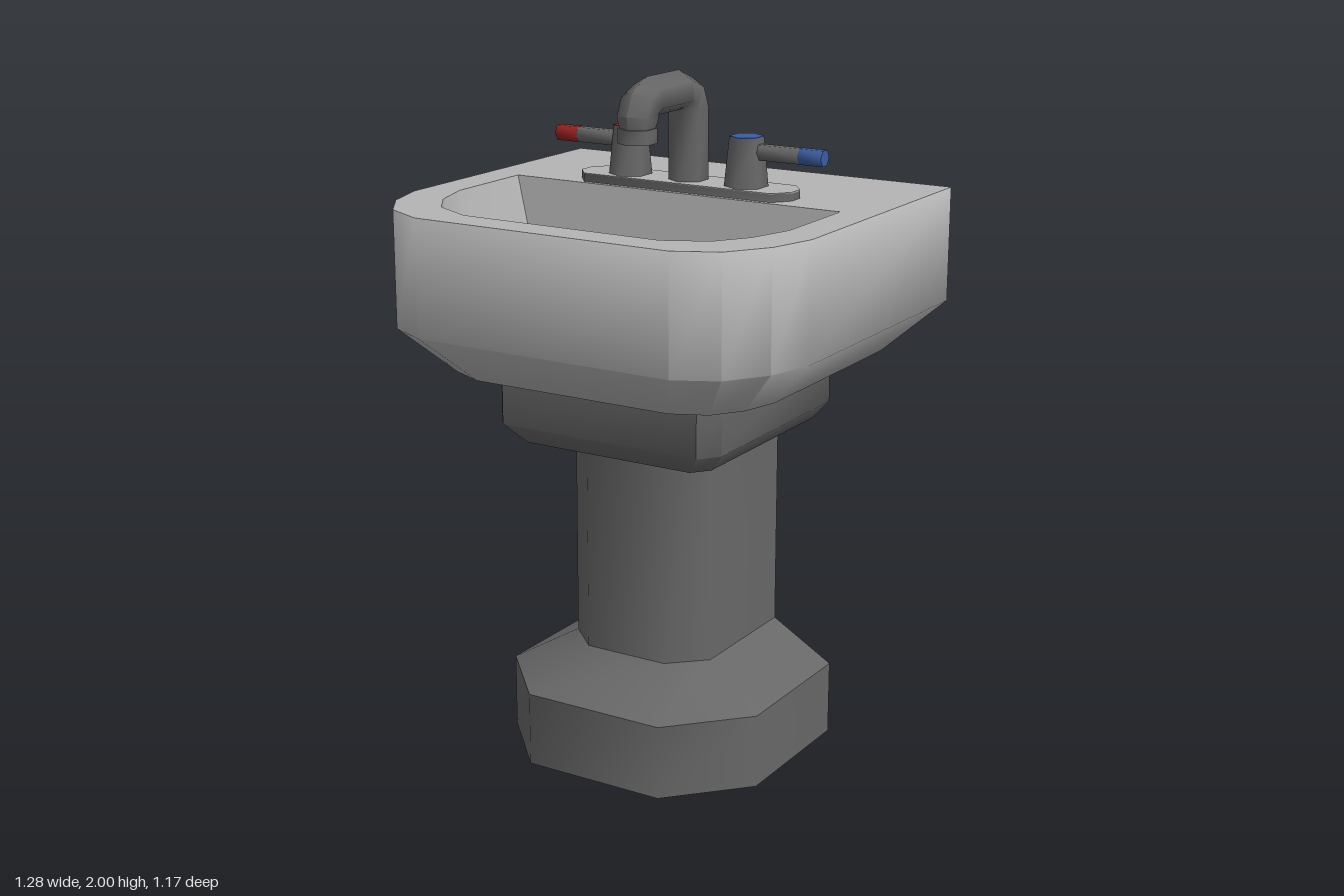
import * as THREE from 'three';
import { toCreasedNormals } from 'three/addons/utils/BufferGeometryUtils.js';

function material(name, color, side = THREE.FrontSide) {
  const m = new THREE.MeshStandardMaterial({ color, side });
  m.name = name;
  return m;
}

// Mirrored horizontal outline: half holds [x, z] pairs from back to front
function outline(y, half) {
  const right = half.map(([x, z]) => [x, y, z]);
  const left = half.map(([x, z]) => [-x, y, z]).reverse();
  return [...right, ...left];
}

// Skin through rings of equal point count, optionally closed at either end
function loft(rings, { startCap = false, endCap = false, crease = 0.9 } = {}) {
  const n = rings[0].length;
  const index = [];
  for (let r = 0; r < rings.length - 1; r++) {
    for (let i = 0; i < n; i++) {
      const a = r * n + i, b = r * n + (i + 1) % n;
      index.push(a, a + n, b, b, a + n, b + n);
    }
  }
  const last = (rings.length - 1) * n;
  for (let i = 1; i < n - 1; i++) {
    if (startCap) index.push(0, i, i + 1);
    if (endCap) index.push(last, last + i + 1, last + i);
  }
  const g = new THREE.BufferGeometry();
  g.setAttribute('position', new THREE.Float32BufferAttribute(rings.flat(2), 3));
  g.setIndex(index);
  return toCreasedNormals(g, crease);
}

export function createModel() {
  const model = new THREE.Group();
  model.name = 'pedestalSink';
  const pale = material('pale ceramic', 0xb4b4b4);
  const dark = material('dark grey', 0x676767, THREE.DoubleSide);
  const red = material('hot red', 0x962222);
  const blue = material('cold blue', 0x3d5c9f);

  const add = (name, geometry, mat, parent = model) => {
    const mesh = new THREE.Mesh(geometry, mat);
    mesh.name = name;
    parent.add(mesh);
    return mesh;
  };
  const hex = (top, bottom, height, open = false) =>
    toCreasedNormals(new THREE.CylinderGeometry(top, bottom, height, 6, 1, open), 1.1);

  // Basin: outer shell, flat rim and recessed bowl
  const rimY = 1.655, floorY = 1.42;
  const outer = [[0.64, -0.585], [0.64, 0.275], [0.6, 0.41], [0.52, 0.525], [0.4, 0.585]];
  const under = [[0.5, -0.44], [0.5, 0.2], [0.47, 0.31], [0.41, 0.395], [0.31, 0.44]];
  const opening = [[0.535, -0.09], [0.535, 0.2], [0.495, 0.33], [0.43, 0.425], [0.31, 0.485]];
  const floor = [[0.46, -0.06], [0.46, 0.17], [0.42, 0.31], [0.375, 0.37], [0.26, 0.43]];

  const shell = loft([outline(1.18, under), outline(1.32, outer), outline(rimY, outer)], { startCap: true });
  // Soften the shell toward the rim by tilting its upper normals
  const p = shell.attributes.position, nrm = shell.attributes.normal;
  const v = new THREE.Vector3();
  for (let i = 0; i < p.count; i++) {
    if (p.getY(i) < rimY - 0.01) continue;
    v.fromBufferAttribute(nrm, i);
    v.y += 0.7;
    v.normalize();
    nrm.setXYZ(i, v.x, v.y, v.z);
  }
  add('basinShell', shell, pale);
  add('basinRim', loft([outline(rimY, outer), outline(rimY, opening)]), pale);
  add('bowl', loft([outline(rimY, opening), outline(floorY, floor)], { endCap: true }), pale);

  // Drain ring
  add('drainRing', hex(0.09, 0.098, 0.03, true), dark).position.set(0, floorY + 0.015, 0.095);

  // Collar under the basin
  const collar = [[0.365, -0.385], [0.365, 0.25], [0.32, 0.31]];
  const collarBottom = [[0.31, -0.385], [0.31, 0.21], [0.27, 0.26]];
  add('collar', loft(
    [outline(0.96, collarBottom), outline(1.02, collar), outline(1.18, collar)],
    { startCap: true }), dark);

  // Hollow pedestal: flared foot and column
  const foot = [[0.42, -0.32], [0.42, 0.13], [0.22, 0.345]];
  const column = [[0.23, -0.32], [0.23, 0.07], [0.13, 0.165]];
  add('pedestal', loft([
    outline(0, foot), outline(0.22, foot), outline(0.33, column), outline(0.96, column),
  ]), dark);

  // Faucet plate: dark edge with a pale top
  const plate = [[0.31, -0.255], [0.35, -0.205], [0.35, -0.155], [0.31, -0.105]];
  add('faucetPlateEdge', loft([outline(rimY, plate), outline(1.678, plate)]), dark);
  add('faucetPlateTop', loft([outline(1.676, plate), outline(1.68, plate)], { endCap: true }), pale);

  // Six-sided bent spout; path points are [z, y]
  const path = [[-0.18, 1.68], [-0.18, 1.885], [-0.162, 1.927], [-0.12, 1.943],
    [0.04, 1.943], [0.08, 1.925], [0.095, 1.89], [0.095, 1.845]];
  const rings = path.map(([z, y], i) => {
    const [z0, y0] = path[Math.max(i - 1, 0)];
    const [z1, y1] = path[Math.min(i + 1, path.length - 1)];
    const len = Math.hypot(z1 - z0, y1 - y0);
    const tz = (z1 - z0) / len, ty = (y1 - y0) / len;
    const radius = i === path.length - 1 ? 0.045 : 0.057;
    return Array.from({ length: 6 }, (_, k) => {
      const a = k * Math.PI / 3, c = radius * Math.cos(a);
      return [radius * Math.sin(a), y + c * tz, z - c * ty];
    });
  });
  add('spout', loft(rings, { endCap: true, crease: 1.1 }), dark);
  add('spoutTip', hex(0.055, 0.055, 0.042), dark).position.set(0, 1.843, 0.095);

  // Hot and cold taps: tapered knob, coloured cap, lever with coloured end
  for (const [name, side, colour] of [['coldTap', 1, blue], ['hotTap', -1, red]]) {
    const tap = new THREE.Group();
    tap.name = name;
    tap.position.set(side * 0.193, 0, -0.175);
    add('knob', hex(0.049, 0.063, 0.14), dark, tap).position.y = 1.75;
    add('knobCap', hex(0.049, 0.049, 0.003), colour, tap).position.y = 1.821;
    const lever = add('lever', hex(0.025, 0.025, 0.175), dark, tap);
    lever.position.set(side * 0.0875, 1.78, 0);
    const end = add('leverEnd', hex(0.0255, 0.0255, 0.074), colour, tap);
    end.position.set(side * 0.211, 1.78, 0);
    lever.rotation.z = end.rotation.z = -side * Math.PI / 2;
    model.add(tap);
  }
  return model;
}
